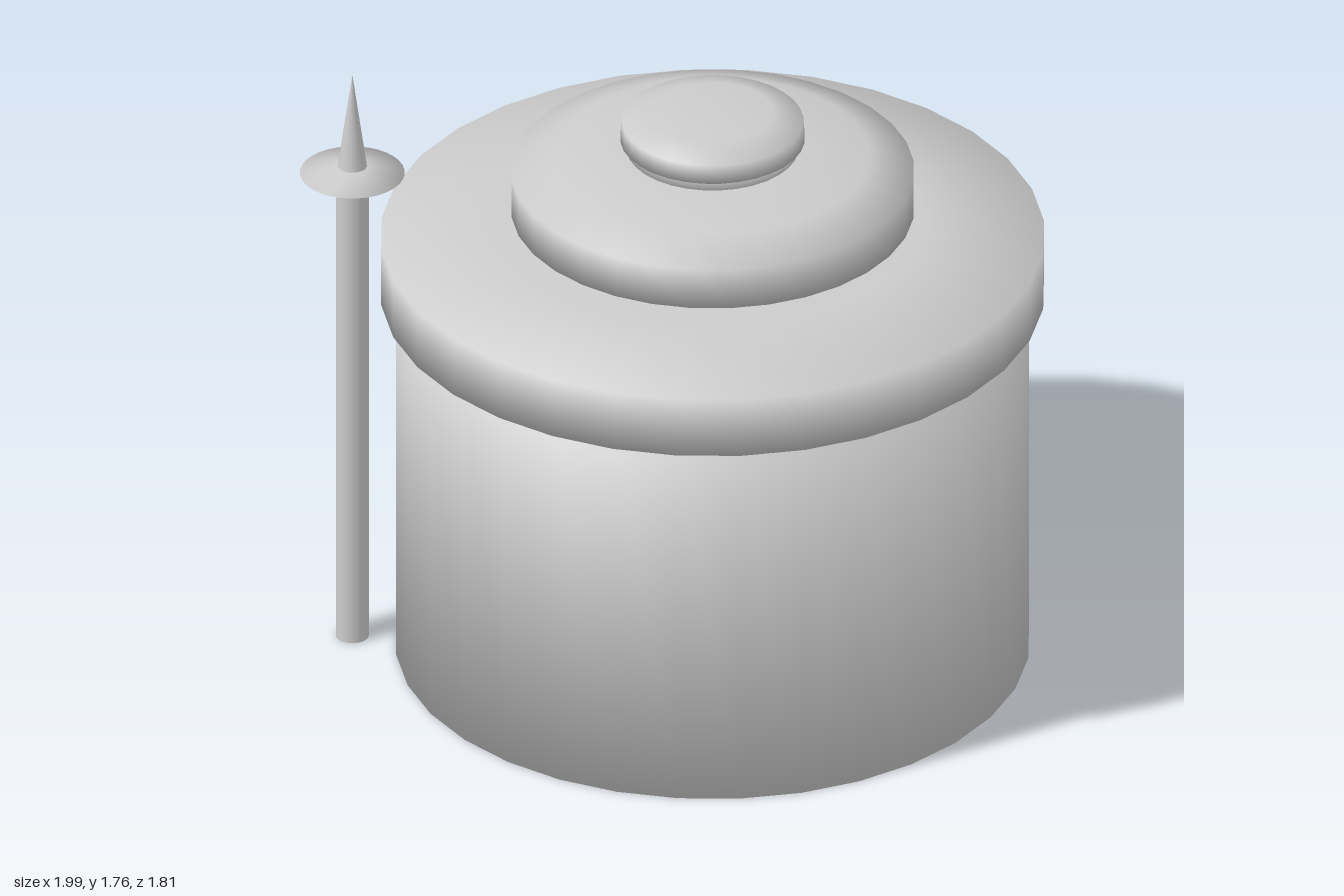
import * as THREE from 'three';

const material = new THREE.MeshStandardMaterial({ color: 0xcccccc });

// Smooth solid of revolution from [radius, height] points, bottom to top
function turned(name, points, sides = 32) {
  const profile = points.map(([r, y]) => new THREE.Vector2(r, y));
  const mesh = new THREE.Mesh(new THREE.LatheGeometry(profile, sides), material);
  mesh.name = name;
  return mesh;
}

// Plain closed drum shape
const disc = (name, r, y0, y1) => turned(name, [[0, y0], [r, y0], [r, y1], [0, y1]]);

export function createModel() {
  const model = new THREE.Group();
  model.name = 'roundHut';

  // Stacked round building
  const building = new THREE.Group();
  building.name = 'building';
  building.position.x = 0.09;
  building.add(
    disc('wall', 0.865, 0, 1.06),
    disc('lowerNeck', 0.56, 1.05, 1.11),
    turned('lowerRoof', [[0, 1.1], [0.906, 1.1], [0.906, 1.275], [0.58, 1.32], [0, 1.32]]),
    disc('middleNeck', 0.297, 1.31, 1.37),
    turned('upperRoof', [[0, 1.36], [0.55, 1.36], [0.55, 1.48], [0.43, 1.525], [0.23, 1.55], [0, 1.55]]),
    disc('upperNeck', 0.235, 1.54, 1.59),
    turned('roofCap', [[0, 1.58], [0.252, 1.58], [0.248, 1.635], [0.165, 1.66], [0, 1.66]])
  );
  model.add(building);

  // Spear standing beside the wall
  const spear = new THREE.Group();
  spear.name = 'spear';
  spear.position.set(-0.855, 0, 0.265);
  const shaft = new THREE.Mesh(new THREE.CylinderGeometry(0.045, 0.045, 1.43, 24), material);
  shaft.name = 'shaft';
  shaft.position.y = 0.715;
  const tip = new THREE.Mesh(new THREE.ConeGeometry(0.042, 0.3, 24), material);
  tip.name = 'tip';
  tip.position.y = 1.61;
  const guard = turned('guard', [[0, 1.418], [0.07, 1.418], [0.143, 1.453], [0.04, 1.475], [0, 1.475]]);
  spear.add(shaft, guard, tip);
  model.add(spear);

  return model;
}
